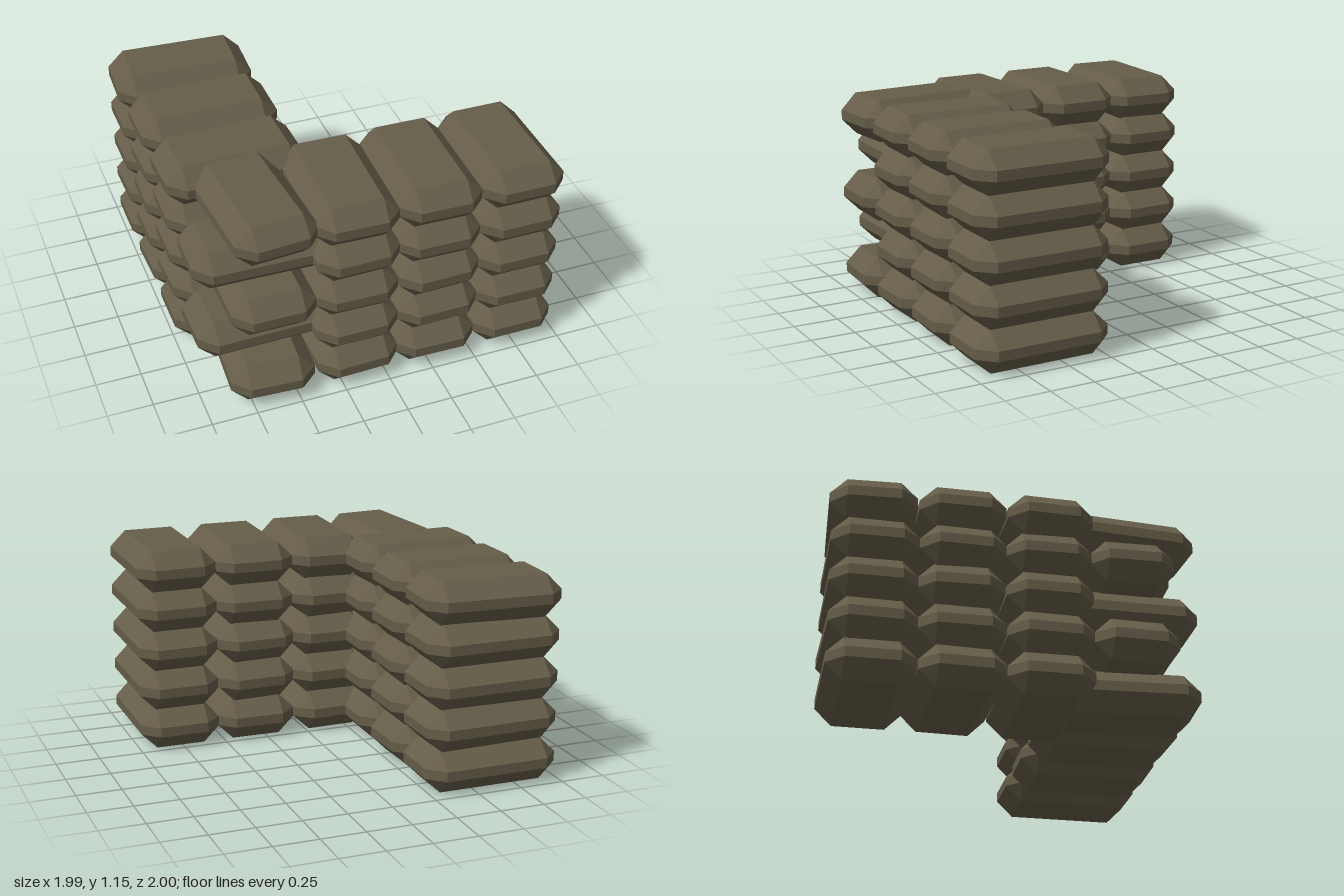
import * as THREE from 'three';
import { ConvexGeometry } from 'three/addons/geometries/ConvexGeometry.js';

const LENGTH = 0.77, WIDTH = 0.46, HEIGHT = 0.235, CHAMFER = 0.09;
const LAYERS = 5, PITCH = 0.229;

// A box with every edge chamfered, long side along x
function bagGeometry() {
  const points = [];
  const hx = LENGTH / 2, hy = HEIGHT / 2, hz = WIDTH / 2, c = CHAMFER;
  for (const sx of [-1, 1]) for (const sy of [-1, 1]) for (const sz of [-1, 1]) {
    for (const [x, y, z] of [[hx, hy - c, hz - c], [hx - c, hy, hz - c], [hx - c, hy - c, hz]]) {
      points.push(new THREE.Vector3(sx * x, sy * y, sz * z));
    }
  }
  return new ConvexGeometry(points);
}

export function createModel() {
  const wall = new THREE.Group();
  wall.name = 'sandbagWall';
  const canvas = new THREE.MeshStandardMaterial({ color: 0x655d49, flatShading: true });
  canvas.name = 'olive canvas';
  const geometry = bagGeometry();

  // Small turns per layer, bottom to top
  const cornerTurn = [-0.06, 0.02, 0, -0.02, 0.08];
  const frontTurn = [[0.03, -0.02, 0], [0, 0.02, 0], [-0.02, 0.03, 0], [0.02, -0.02, 0], [-0.03, -0.02, 0]];
  const sideTurn = [[0, 0.03, 0], [0.02, 0, 0.02], [0, -0.03, 0], [-0.02, 0.02, 0], [0.03, 0, -0.05]];

  for (let i = 0; i < LAYERS; i++) {
    const layer = new THREE.Group();
    layer.name = `layer${i + 1}`;
    layer.position.y = HEIGHT / 2 + i * PITCH;
    const addBag = (name, x, z, turn) => {
      const bag = new THREE.Mesh(geometry, canvas);
      bag.name = name;
      bag.position.set(x, 0, z);
      bag.rotation.y = turn;
      layer.add(bag);
    };

    // Front arm: bags pointing forward
    [-0.155, 0.3, 0.76].forEach((x, k) => addBag('frontBag', x, 0.6, Math.PI / 2 + frontTurn[i][k]));
    // Side arm: bags pointing sideways
    [0.15, -0.31, -0.765].forEach((z, k) => addBag('sideBag', -0.61, z, sideTurn[i][k]));
    // Corner bag alternates direction with each layer
    if (i % 2 === 0) addBag('cornerBag', -0.61, 0.6, Math.PI / 2 + cornerTurn[i]);
    else addBag('cornerBag', -0.605, 0.6, cornerTurn[i]);

    wall.add(layer);
  }
  return wall;
}
